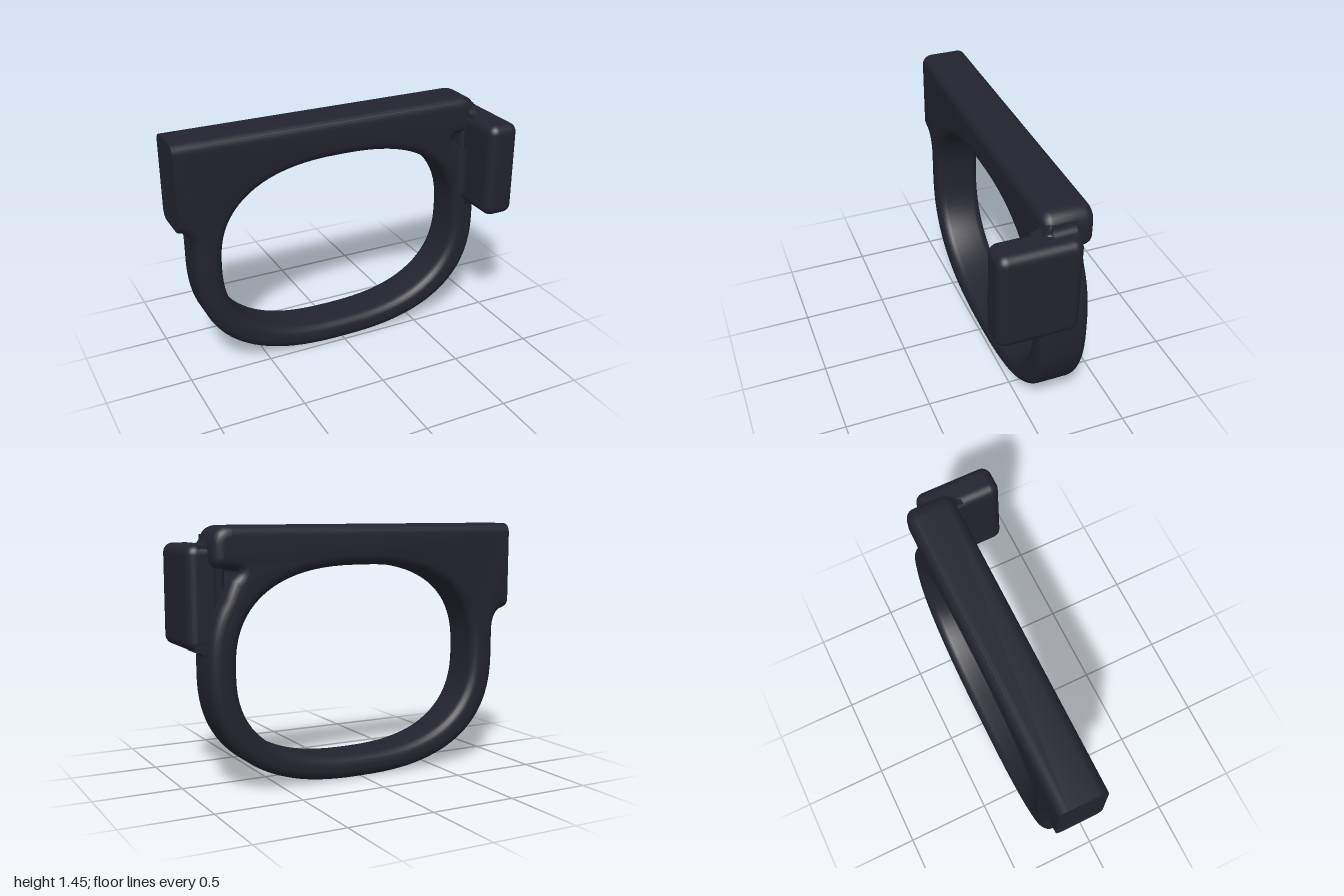
import * as THREE from 'three';
import { toCreasedNormals } from 'three/addons/utils/BufferGeometryUtils.js';
import { RoundedBoxGeometry } from 'three/addons/geometries/RoundedBoxGeometry.js';

const CY = 0.68; // height of the loop's centre

// Point on a squarish oval centred on the loop
function oval(a, b, t) {
  const p = (v) => Math.sign(v) * Math.pow(Math.abs(v), 2 / 2.5);
  return new THREE.Vector2(0.005 + a * p(Math.cos(t)), CY + b * p(Math.sin(t)));
}

// Smooth normals that keep hard edges (enlarged while welding for precision)
function smooth(geometry, angle = 0.6) {
  geometry.scale(20, 20, 20);
  const g = toCreasedNormals(geometry, angle);
  return g.scale(0.05, 0.05, 0.05);
}

// One bevelled outline: top bar, left end block and grip loop
function frameGeometry() {
  const s = new THREE.Shape();
  s.moveTo(-1.15, 0.94);
  s.lineTo(-0.99, 0.935);
  s.quadraticCurveTo(-0.91, 0.92, -0.91, 0.8);
  const N = 64;
  for (let i = 0; i <= N; i++) {
    const t = Math.PI - 0.03 + (i / N) * (Math.PI + 0.53);
    const p = oval(0.915, CY, t);
    s.lineTo(p.x, p.y);
  }
  // small notch between the loop and the bar end
  s.lineTo(0.785, 1.165);
  s.quadraticCurveTo(0.73, 1.205, 0.76, 1.22);
  s.lineTo(0.83, 1.225);
  s.quadraticCurveTo(0.89, 1.225, 0.89, 1.285);
  s.lineTo(0.89, 1.36);
  s.quadraticCurveTo(0.88, 1.45, 0.79, 1.45);
  s.lineTo(-1.15, 1.45);
  s.closePath();

  // finger opening
  const opening = [];
  for (let i = 0; i < 80; i++) opening.push(oval(0.76, 0.545, (-i / 80) * Math.PI * 2));
  s.holes.push(new THREE.Path(opening));

  const bevel = 0.055;
  const g = new THREE.ExtrudeGeometry(s, {
    depth: 0.28 - 2 * bevel, bevelEnabled: true, bevelThickness: bevel,
    bevelSize: bevel, bevelOffset: -bevel, bevelSegments: 5, curveSegments: 8,
  });
  g.translate(0, 0, -0.28 + bevel);
  // cut the left end off flat
  const pos = g.attributes.position;
  for (let i = 0; i < pos.count; i++) pos.setX(i, Math.max(-1, pos.getX(i)));
  return smooth(g);
}

// Concave fillet in the corner at the origin, spreading toward +x and +y
function filletGeometry(r, length) {
  const s = new THREE.Shape();
  s.moveTo(-0.04, -0.04);
  s.lineTo(r, -0.04);
  s.lineTo(r, 0);
  s.quadraticCurveTo(0, 0, 0, r);
  s.lineTo(-0.04, r);
  s.closePath();
  const g = new THREE.ExtrudeGeometry(s, { depth: length, bevelEnabled: false, curveSegments: 8 });
  return smooth(g.translate(0, 0, -length / 2));
}

export function createModel() {
  const model = new THREE.Group();
  model.name = 'loopHandle';
  const material = new THREE.MeshStandardMaterial({ color: 0x22232d });
  material.name = 'dark slate';

  const add = (name, geometry, x = 0, y = 0, z = 0) => {
    const mesh = new THREE.Mesh(geometry, material);
    mesh.name = name;
    mesh.position.set(x, y, z);
    model.add(mesh);
    return mesh;
  };

  add('barAndLoop', frameGeometry());

  // Block on the left side, standing forward of the loop
  add('sideBlock', new RoundedBoxGeometry(0.188, 0.57, 0.46, 5, 0.055), 0.906, 1.065, 0.05);

  // Web joining the block to the bar and loop
  add('blockWeb', new RoundedBoxGeometry(0.115, 0.36, 0.17, 4, 0.03), 0.847, 1.18, -0.09);

  // Blends around the block: [name, length, position, x axis, y axis]
  const X = new THREE.Vector3(1, 0, 0);
  const Y = new THREE.Vector3(0, 1, 0);
  const Z = new THREE.Vector3(0, 0, 1);
  const neg = (v) => v.clone().negate();
  const blends = [
    ['lowerFrontBlend', 0.06, [0.865, 0.782, -0.004], Z, neg(Y)],
    ['lowerSideBlend', 0.12, [0.914, 0.782, -0.12], X, neg(Y)],
    ['upperSideBlend', 0.13, [0.885, 1.347, -0.105], X, Y],
    ['upperFrontBlend', 0.05, [0.85, 1.347, -0.004], Z, Y],
    ['innerBlend', 0.28, [0.813, 0.99, -0.004], neg(X), Z],
  ];
  for (const [name, length, p, ax, ay] of blends) {
    const mesh = add(name, filletGeometry(0.055, length), ...p);
    const az = new THREE.Vector3().crossVectors(ax, ay);
    mesh.quaternion.setFromRotationMatrix(new THREE.Matrix4().makeBasis(ax, ay, az));
  }

  return model;
}
